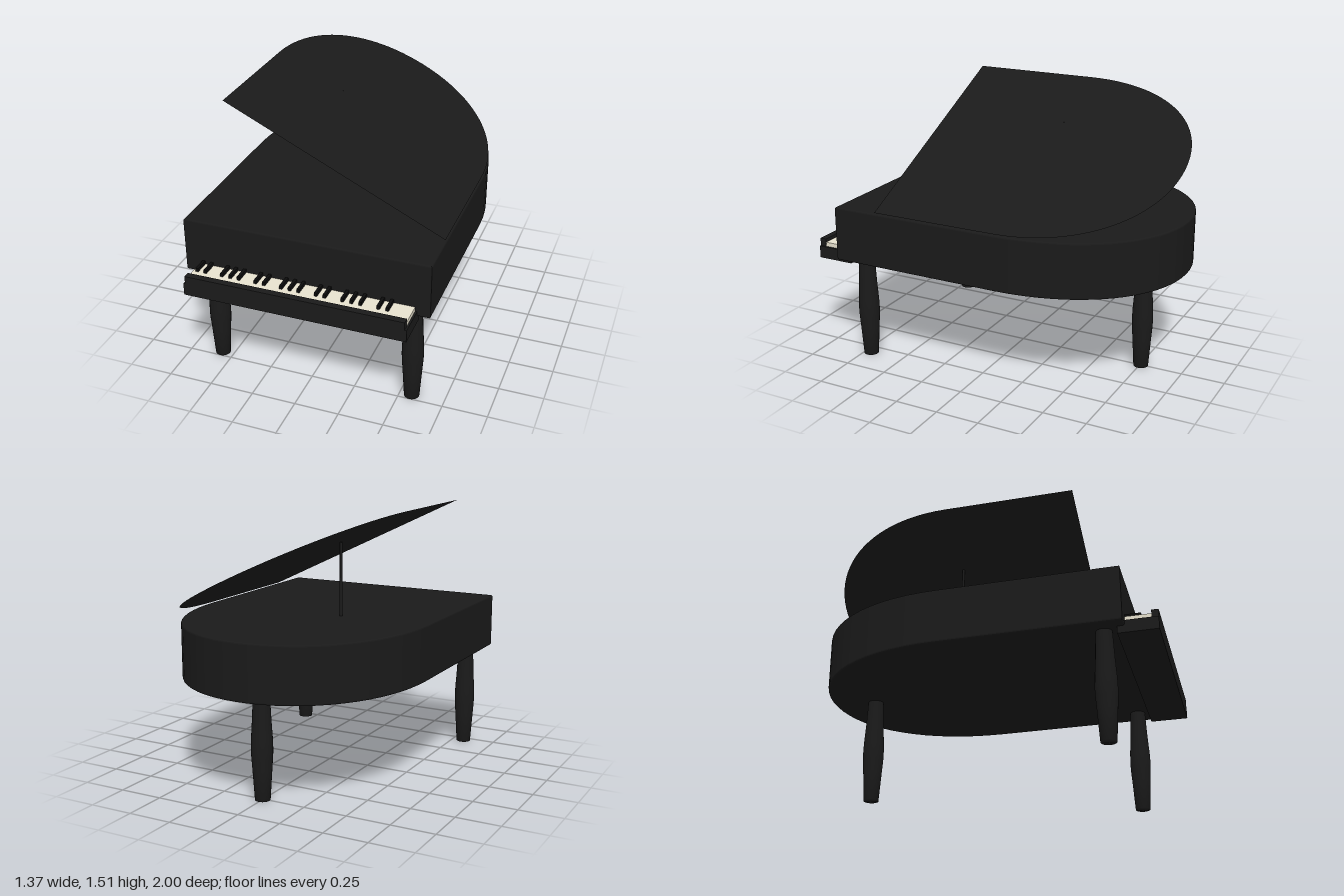
import * as THREE from 'three';

const ebony = new THREE.MeshStandardMaterial({ color: 0x1a1a1a });
ebony.name = 'ebony';
const lidEbony = new THREE.MeshStandardMaterial({ color: 0x1a1a1a, side: THREE.DoubleSide });
lidEbony.name = 'ebony lid';
const ivory = new THREE.MeshStandardMaterial({ color: 0xf0ead6 });
ivory.name = 'ivory';
const keyBlack = new THREE.MeshStandardMaterial({ color: 0x0c0c0c });
keyBlack.name = 'key black';

// Plan outline: square front, rounded tail (shape y is -z)
function outline(halfWidth, front, back) {
  const s = new THREE.Shape();
  s.moveTo(-halfWidth, -front);
  s.lineTo(halfWidth, -front);
  s.lineTo(halfWidth, 0.17);
  s.bezierCurveTo(halfWidth, 0.65, halfWidth * 0.58, -back, 0, -back);
  s.bezierCurveTo(-halfWidth * 0.58, -back, -halfWidth, 0.65, -halfWidth, 0.17);
  s.closePath();
  return s;
}

export function createModel() {
  const piano = new THREE.Group();
  piano.name = 'grandPiano';

  function add(name, geometry, material, x = 0, y = 0, z = 0) {
    const mesh = new THREE.Mesh(geometry, material);
    mesh.name = name;
    mesh.position.set(x, y, z);
    piano.add(mesh);
    return mesh;
  }
  // Box given by its lower and upper limits
  function block(name, material, [x0, x1], [y0, y1], [z0, z1]) {
    return add(name, new THREE.BoxGeometry(x1 - x0, y1 - y0, z1 - z0), material,
      (x0 + x1) / 2, (y0 + y1) / 2, (z0 + z1) / 2);
  }

  // Case with a small bevel
  const bevel = 0.01;
  const caseGeometry = new THREE.ExtrudeGeometry(outline(0.677, 0.814, -0.99), {
    depth: 0.293, curveSegments: 16,
    bevelEnabled: true, bevelSize: bevel, bevelThickness: bevel, bevelSegments: 3,
  });
  caseGeometry.rotateX(-Math.PI / 2);
  add('case', caseGeometry, ebony, 0, 0.612, 0);

  // Thin lid hinged along the left side
  const lidGeometry = new THREE.ShapeGeometry(outline(0.68, 0.565, -0.985), 24);
  lidGeometry.rotateX(-Math.PI / 2).translate(-0.68, 0, 0);
  add('lid', lidGeometry, lidEbony, 0.68, 0.92, 0).rotation.z = -0.45;

  // Lid prop
  add('lidProp', new THREE.CylinderGeometry(0.008, 0.008, 0.42, 12), ebony, -0.165, 1.115, -0.175);

  // Keyboard
  block('keybed', ebony, [-0.617, 0.617], [0.562, 0.632], [0.785, 1]);
  block('keySlip', ebony, [-0.607, 0.607], [0.632, 0.677], [0.962, 1]);
  block('whiteKeys', ivory, [-0.606, 0.606], [0.632, 0.657], [0.8, 0.962]);
  for (let i = 0; i <= 22; i++) {
    if (i % 7 === 2 || i % 7 === 6) continue;
    const x = -0.583 + i * 0.0485;
    block('blackKey', keyBlack, [x - 0.008, x + 0.008], [0.655, 0.677], [0.8, 0.908]);
  }

  // Turned legs
  const profile = [
    [0, 0], [0.042, 0], [0.053, 0.17], [0.058, 0.24], [0.0595, 0.28],
    [0.058, 0.34], [0.051, 0.45], [0.044, 0.61],
  ].map(([r, y]) => new THREE.Vector2(r, y));
  const legGeometry = new THREE.LatheGeometry(profile, 24);
  add('frontLeg', legGeometry, ebony, 0.567, 0, 0.71);
  add('frontLeg', legGeometry, ebony, -0.567, 0, 0.71);
  add('backLeg', legGeometry, ebony, 0, 0, -0.755);

  return piano;
}
